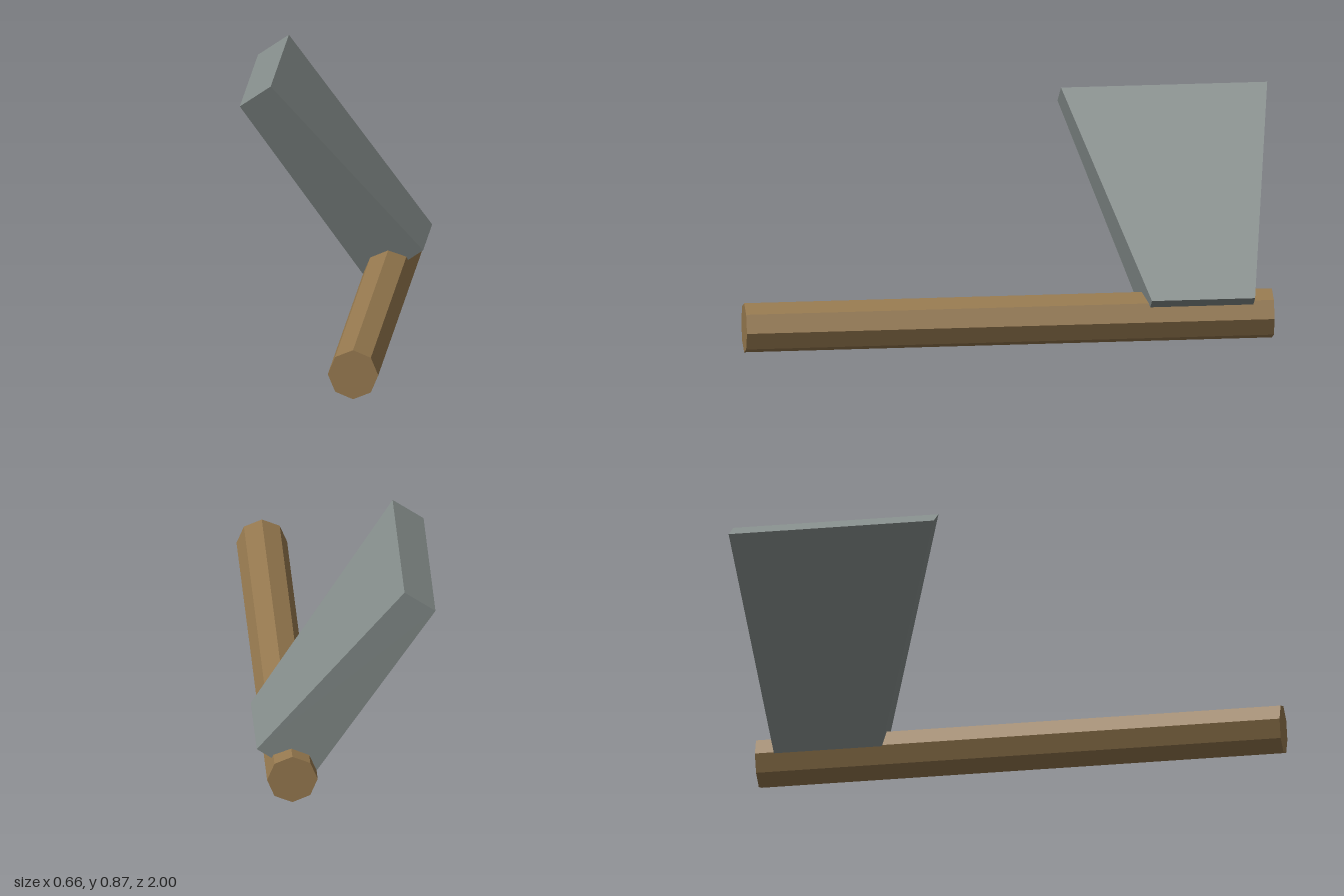
import * as THREE from 'three';

const wood = new THREE.MeshStandardMaterial({ name: 'wood', color: 0x96794f, flatShading: true });
const steel = new THREE.MeshStandardMaterial({ name: 'greySteel', color: 0x858d8b, flatShading: true });

// Eight-sided handle lying along z
function makeHandle() {
  const front = 1, back = -0.97;
  const geometry = new THREE.CylinderGeometry(0.094, 0.094, front - back, 8);
  geometry.rotateX(Math.PI / 2);
  const handle = new THREE.Mesh(geometry, wood);
  handle.name = 'handle';
  handle.position.set(0.2, 0.096, (front + back) / 2);
  return handle;
}

// Leaning axe head: a box whose corners are moved so it flares toward the cutting end
function makeHead() {
  const edge = { left: [-0.33, 0.795], right: [-0.215, 0.874], front: -0.23, back: -1 };
  const butt = { left: [0.132, 0.053], right: [0.328, 0.187], front: -0.508, back: -0.893 };
  const geometry = new THREE.BoxGeometry(1, 1, 1);
  const p = geometry.attributes.position;
  for (let i = 0; i < p.count; i++) {
    const end = p.getY(i) > 0 ? edge : butt;
    const [x, y] = p.getX(i) > 0 ? end.right : end.left;
    p.setXYZ(i, x, y, p.getZ(i) > 0 ? end.front : end.back);
  }
  geometry.computeVertexNormals();
  const head = new THREE.Mesh(geometry, steel);
  head.name = 'axeHead';
  return head;
}

export function createModel() {
  const group = new THREE.Group();
  group.name = 'axe';
  group.add(makeHandle(), makeHead());
  return group;
}
